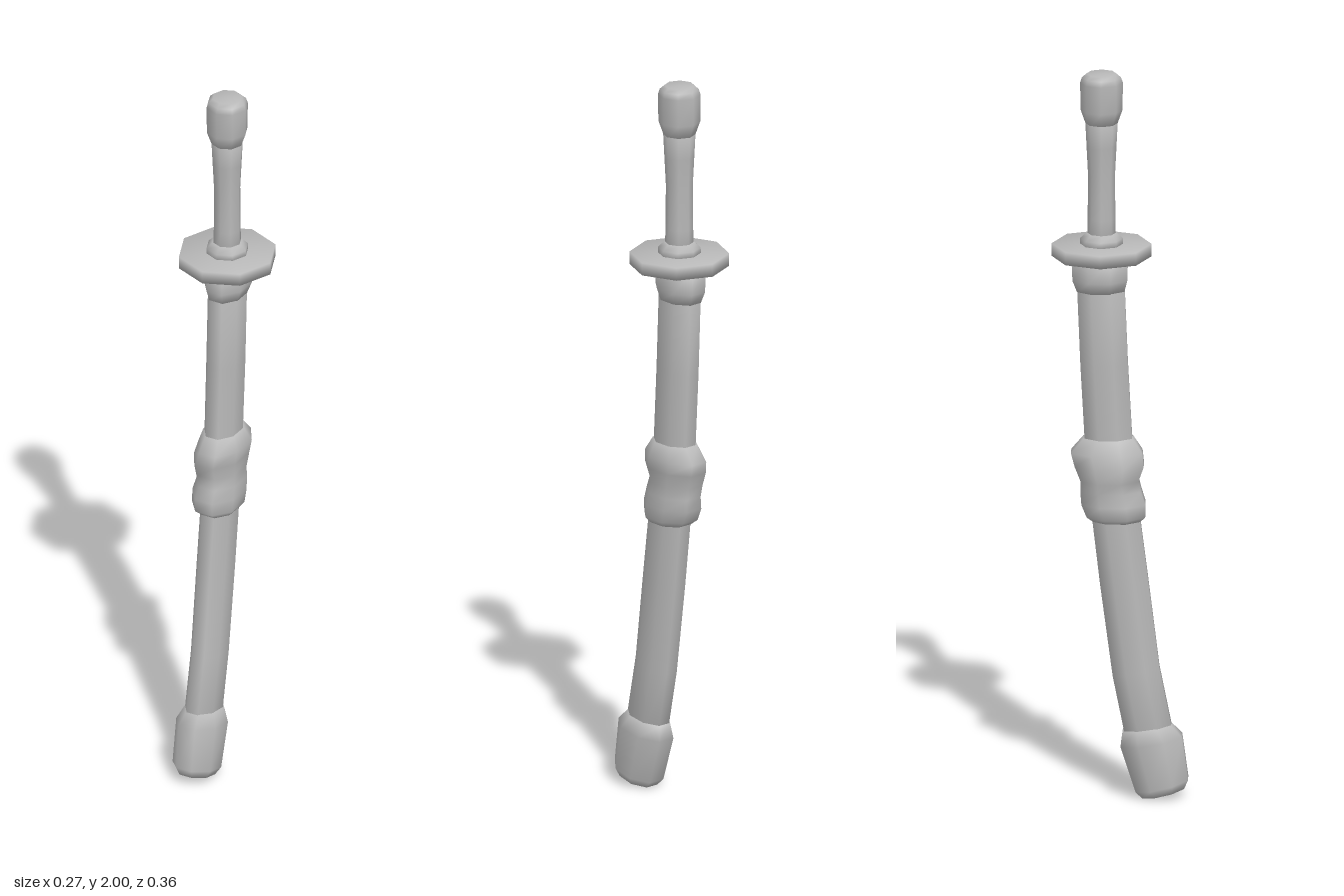
import * as THREE from 'three';

const SIDES = 8;

// Closed smooth loft through octagonal rings listed from bottom to top.
// Ring: [y, z, halfWidth, halfDepth, tilt, x]; flat = true puts flats on the axes.
function loft(name, rings, material, flat) {
  const phase = flat ? Math.PI / SIDES : 0;
  const grow = flat ? 1 / Math.cos(phase) : 1;
  const pos = [], index = [];
  for (const [y, z, rx, rz, tilt = 0, x = 0] of rings) {
    for (let j = 0; j < SIDES; j++) {
      const a = phase + (j / SIDES) * Math.PI * 2;
      const d = rz * grow * Math.sin(a);
      pos.push(x + rx * grow * Math.cos(a), y + d * Math.sin(tilt), z + d * Math.cos(tilt));
    }
  }
  const last = (rings.length - 1) * SIDES;
  const bottom = rings.length * SIDES, top = bottom + 1;
  for (const [y, z, , , , x = 0] of [rings[0], rings[rings.length - 1]]) pos.push(x, y, z);
  for (let j = 0; j < SIDES; j++) {
    const k = (j + 1) % SIDES;
    for (let o = 0; o < last; o += SIDES) {
      index.push(o + j, o + SIDES + j, o + k, o + k, o + SIDES + j, o + SIDES + k);
    }
    index.push(bottom, j, k, top, last + k, last + j);
  }
  const geo = new THREE.BufferGeometry();
  geo.setAttribute('position', new THREE.Float32BufferAttribute(pos, 3));
  geo.setIndex(index);
  geo.computeVertexNormals();
  const mesh = new THREE.Mesh(geo, material);
  mesh.name = name;
  return mesh;
}

export function createModel() {
  const grey = new THREE.MeshStandardMaterial({ color: 0xb8b8b8 });
  grey.name = 'plain grey';
  const group = new THREE.Group();
  group.name = 'sheathedSword';
  const add = (name, rings, flat) => group.add(loft(name, rings, grey, flat));
  // Round rings on the hilt axis
  const round = (list) => list.map(([y, r]) => [y, -0.05, r, r]);

  // Hilt
  add('grip', round([[1.52, 0.039], [1.6, 0.037], [1.72, 0.036], [1.8, 0.04], [1.88, 0.044]]));
  add('pommel', round([[1.86, 0.042], [1.9, 0.056], [1.975, 0.057], [1.99, 0.052], [2, 0.04]]));
  add('ferrule', round([[1.52, 0.058], [1.545, 0.057], [1.56, 0.041]]));
  add('guard', round([[1.495, 0.133], [1.53, 0.133]]));

  // Scabbard, curving forward toward its tip
  add('scabbardMouth', [
    [1.4, -0.052, 0.045, 0.063],
    [1.432, -0.054, 0.056, 0.073],
    [1.5, -0.055, 0.057, 0.075],
  ], true);
  add('scabbardBody', [
    [0.16, 0.08, 0.043, 0.063, 0.22],
    [0.35, 0.042, 0.043, 0.063, 0.18],
    [0.6, 0.01, 0.044, 0.064, 0.12],
    [0.78, -0.012, 0.044, 0.063, 0.09],
    [1.0, -0.032, 0.044, 0.063, 0.07],
    [1.2, -0.043, 0.045, 0.063, 0.04],
    [1.42, -0.052, 0.045, 0.063],
  ], true);
  add('scabbardTip', [
    [0.014, 0.115, 0.045, 0.057, 0.24],
    [0.036, 0.111, 0.058, 0.072, 0.24],
    [0.158, 0.083, 0.06, 0.083, 0.17],
    [0.195, 0.07, 0.044, 0.064, 0.15],
  ], true);

  // Cord wrap with two swellings, bulging to one side and to the back
  add('cordWrap', [
    [0.765, -0.01, 0.046, 0.062],
    [0.78, -0.011, 0.062, 0.078, 0, -0.005],
    [0.815, -0.018, 0.063, 0.085, 0, -0.005],
    [0.85, -0.025, 0.058, 0.081, 0, -0.002],
    [0.88, -0.028, 0.062, 0.077, 0, -0.008],
    [0.92, -0.029, 0.063, 0.092, 0, -0.005],
    [0.955, -0.036, 0.06, 0.095, 0, 0.001],
    [0.995, -0.032, 0.047, 0.066],
  ], true);

  return group;
}
